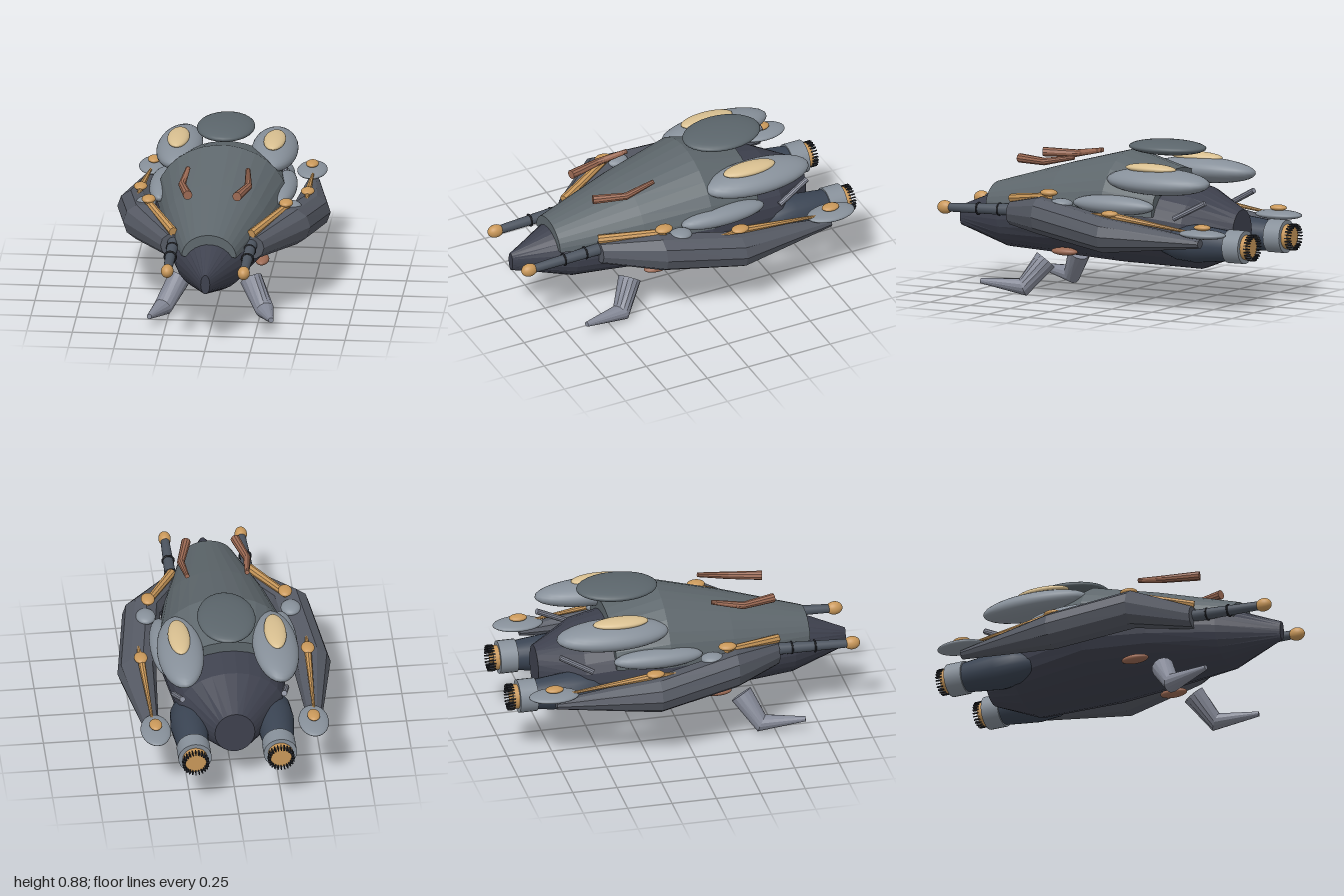
import * as THREE from 'three';

const mat = (color, flatShading = false) => new THREE.MeshStandardMaterial({ color, flatShading });
const M = {
  hull: mat(0x3e414e, true), shell: mat(0x5e676c, true), arm: mat(0x555963, true),
  pod: mat(0x87909a), disk: mat(0x5b656b), gold: mat(0xc9985a), pale: mat(0xd8bf90),
  copper: mat(0x9c6a54), copperFlat: mat(0x9c6a54, true), goldFlat: mat(0xc9985a, true),
  engine: mat(0x3a4453), leg: mat(0x858997, true), barrel: mat(0x4d5560), dark: mat(0x24262c),
};

function add(parent, name, geometry, material) {
  const mesh = new THREE.Mesh(geometry, material);
  mesh.name = name;
  parent.add(mesh);
  return mesh;
}

// Skin over equal-sized rings (counter-clockwise seen from the first end), with end caps
function loft(rings) {
  const n = rings[0].length, pos = [], idx = [];
  rings.forEach(r => r.forEach(p => pos.push(p.x, p.y, p.z)));
  for (let i = 0; i < rings.length - 1; i++) {
    for (let j = 0; j < n; j++) {
      const a = i * n + j, b = i * n + (j + 1) % n;
      idx.push(a, a + n, b, b, a + n, b + n);
    }
  }
  [0, rings.length - 1].forEach((k, end) => {
    const c = new THREE.Vector3();
    rings[k].forEach(p => c.addScaledVector(p, 1 / n));
    const m = pos.length / 3;
    pos.push(c.x, c.y, c.z);
    for (let j = 0; j < n; j++) {
      const a = k * n + j, b = k * n + (j + 1) % n;
      idx.push(m, end ? b : a, end ? a : b);
    }
  });
  const g = new THREE.BufferGeometry();
  g.setAttribute('position', new THREE.Float32BufferAttribute(pos, 3));
  g.setIndex(idx);
  g.computeVertexNormals();
  return g;
}

// Ellipse (or upper half of one) across z
function ring(z, cx, cy, rx, ry, n, half = false) {
  return Array.from({ length: n }, (_, j) => {
    const t = half ? Math.PI * j / (n - 1) : 2 * Math.PI * j / n;
    return new THREE.Vector3(cx + rx * Math.cos(t), cy + ry * Math.sin(t), z);
  });
}

// Bent, tapering rod through [x, y, z, radius] points
function rod(points, sides = 12) {
  const p = points.map(q => new THREE.Vector3(q[0], q[1], q[2]));
  const up = new THREE.Vector3(0, 1, 0);
  return loft(p.map((c, i) => {
    const t = new THREE.Vector3();
    if (i > 0) t.add(c.clone().sub(p[i - 1]).normalize());
    if (i < p.length - 1) t.add(p[i + 1].clone().sub(c).normalize());
    t.normalize().negate();
    const u = new THREE.Vector3().crossVectors(up, t).normalize();
    const v = new THREE.Vector3().crossVectors(t, u);
    return Array.from({ length: sides }, (_, j) => {
      const a = 2 * Math.PI * j / sides, r = points[i][3];
      return c.clone().addScaledVector(u, r * Math.cos(a)).addScaledVector(v, r * Math.sin(a));
    });
  }));
}

function ellipsoid(parent, name, [x, y, z], [rx, ry, rz], material, roll = 0) {
  const g = new THREE.SphereGeometry(1, 28, 18).scale(rx, ry, rz);
  const mesh = add(parent, name, g, material);
  mesh.position.set(x, y, z);
  mesh.rotation.z = roll;
}

function engine(s) {
  const g = new THREE.Group();
  g.name = 'engine';
  g.position.set(s * 0.235, 0.362, 0);
  const profile = [[0, 0.4], [0.06, 0.43], [0.095, 0.52], [0.105, 0.64], [0.09, 0.78], [0.08, 0.86]]
    .map(([r, d]) => new THREE.Vector2(r, d));
  add(g, 'nacelle', new THREE.LatheGeometry(profile, 24).rotateX(-Math.PI / 2), M.engine);
  const drum = (name, r, z0, z1, m) => add(g, name,
    new THREE.CylinderGeometry(r, r, z0 - z1, 24).rotateX(Math.PI / 2).translate(0, 0, (z0 + z1) / 2), m);
  drum('engineCollar', 0.092, -0.84, -0.94, M.pod);
  drum('exhaust', 0.068, -0.93, -0.975, M.gold);
  for (let i = 0; i < 24; i++) {
    const tooth = add(g, 'exhaustTooth', new THREE.BoxGeometry(0.016, 0.006, 0.035).translate(0.066, 0, -0.982), M.dark);
    tooth.rotation.z = i * Math.PI / 12;
  }
  return g;
}

// Everything that repeats on each side; s = 1 left, -1 right
function sideParts(s) {
  const g = new THREE.Group();
  g.name = s > 0 ? 'leftSide' : 'rightSide';

  // Swept side arm with its front gun
  const armSections = [[0.53, 0.225, 0.45, 0.06, 0.065], [0.25, 0.41, 0.48, 0.105, 0.105],
    [-0.2, 0.48, 0.41, 0.107, 0.1], [-0.77, 0.445, 0.395, 0.03, 0.025]];
  add(g, 'sideArm', loft(armSections.map(([z, x, y, rx, ry]) => ring(z, s * x, y, rx, ry, 10))), M.arm);
  add(g, 'gunBarrel', rod([[s * 0.21, 0.45, 0.94, 0.024], [s * 0.215, 0.467, 0.48, 0.034]], 16), M.barrel);
  for (const [z, y] of [[0.61, 0.462], [0.74, 0.457]]) {
    add(g, 'barrelRing', new THREE.TorusGeometry(0.032, 0.005, 8, 20).translate(s * 0.212, y, z), M.dark);
  }
  ellipsoid(g, 'gunTip', [s * 0.21, 0.45, 0.95], [0.034, 0.037, 0.046], M.gold);

  // Gold linkages along the arm
  add(g, 'frontLink', rod([[s * 0.215, 0.53, 0.53, 0.025], [s * 0.385, 0.585, 0.2, 0.02]], 8), M.goldFlat);
  ellipsoid(g, 'frontJoint', [s * 0.378, 0.603, 0.21], [0.038, 0.02, 0.05], M.gold);
  add(g, 'rearLink', rod([[s * 0.463, 0.515, -0.1, 0.007], [s * 0.458, 0.513, -0.24, 0.02],
    [s * 0.445, 0.455, -0.7, 0.007]], 8), M.goldFlat);
  ellipsoid(g, 'rearJoint', [s * 0.46, 0.525, -0.215], [0.037, 0.018, 0.05], M.gold);
  ellipsoid(g, 'shoulderPlate', [s * 0.4, 0.552, 0.12], [0.055, 0.028, 0.065], M.pod);
  ellipsoid(g, 'tailPaddle', [s * 0.435, 0.447, -0.78], [0.083, 0.025, 0.14], M.pod);
  ellipsoid(g, 'tailJoint', [s * 0.435, 0.485, -0.778], [0.035, 0.017, 0.05], M.gold);

  // Pods on the flank
  ellipsoid(g, 'upperPod', [s * 0.262, 0.692, -0.41], [0.127, 0.071, 0.315], M.pod, -s * 0.12);
  ellipsoid(g, 'podLens', [s * 0.265, 0.762, -0.365], [0.06, 0.027, 0.155], M.pale);
  ellipsoid(g, 'lowerPod', [s * 0.335, 0.556, -0.17], [0.07, 0.053, 0.25], M.pod);
  add(g, 'rearStrut', rod([[s * 0.31, 0.5, -0.53, 0.016], [s * 0.28, 0.595, -0.71, 0.016]], 10), M.leg);

  // Bent horns over the shell
  add(g, 'horn', rod([[s * 0.135, 0.742, 0.525, 0.026], [s * 0.182, 0.74, 0.345, 0.021],
    [s * 0.165, 0.773, 0.17, 0.013]], 10), M.copperFlat);

  // Belly lamp and landing leg
  ellipsoid(g, 'bellyLamp', [s * 0.245, 0.262, 0.185], [0.038, 0.022, 0.08], M.copper);
  add(g, 'landingLeg', rod([[s * 0.195, 0.2, 0.33, 0.063], [s * 0.28, 0.053, 0.425, 0.052],
    [s * 0.335, 0.078, 0.66, 0.014]], 14), M.leg);

  g.add(engine(s));
  return g;
}

export function createModel() {
  const model = new THREE.Group();
  model.name = 'spacecraft';

  // Dark lower hull: z, centre height, half width, half height
  const hull = [[0.96, 0.38, 0.025, 0.055], [0.64, 0.4, 0.19, 0.17], [0.27, 0.435, 0.3, 0.22],
    [-0.1, 0.465, 0.365, 0.268], [-0.56, 0.415, 0.29, 0.226], [-0.79, 0.405, 0.11, 0.125]];
  add(model, 'hull', loft(hull.map(([z, y, rx, ry]) => ring(z, 0, y, rx, ry, 26))), M.hull);

  // Upper shell: half ellipses on the hull's back
  const shell = [[0.73, 0.46, 0.15, 0.125], [0.275, 0.485, 0.285, 0.235],
    [-0.1, 0.5, 0.365, 0.318], [-0.4, 0.5, 0.325, 0.235]];
  add(model, 'upperShell', loft(shell.map(([z, y, rx, ry]) => ring(z, 0, y, rx, ry, 16, true))), M.shell);

  ellipsoid(model, 'topDisk', [0, 0.845, -0.325], [0.16, 0.04, 0.226], M.disk);

  model.add(sideParts(1), sideParts(-1));
  return model;
}
